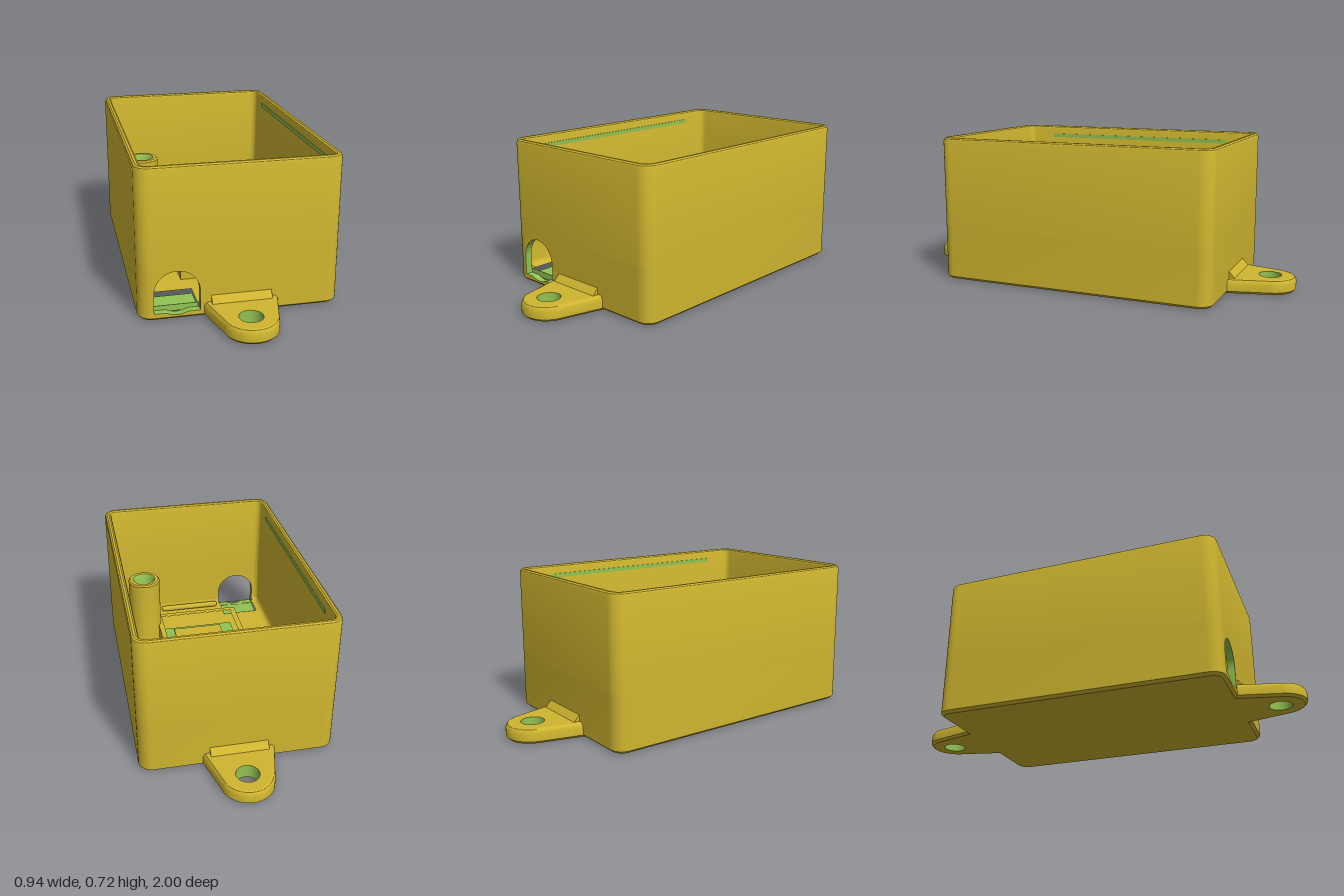
import * as THREE from 'three';
import { toCreasedNormals } from 'three/addons/utils/BufferGeometryUtils.js';

const yellow = new THREE.MeshStandardMaterial({ color: 0xcfb52f });
yellow.name = 'mustard plastic';
const green = new THREE.MeshStandardMaterial({ color: 0x92c353 });
green.name = 'green cut faces';

function add(parent, name, geometry, material, x = 0, y = 0, z = 0) {
  const mesh = new THREE.Mesh(geometry, material);
  mesh.name = name;
  mesh.position.set(x, y, z);
  parent.add(mesh);
  return mesh;
}

// Sweeps a profile of [inset, height] along an outline that depends on the inset
function sweep(outline, profile) {
  const rows = profile.map(([d, y]) => outline(d).map(([x, z]) => [x, y, z]));
  const pos = [];
  for (let j = 0; j < rows.length - 1; j++) {
    for (let i = 0; i < rows[j].length - 1; i++) {
      const a = rows[j][i], b = rows[j][i + 1], c = rows[j + 1][i], e = rows[j + 1][i + 1];
      pos.push(...a, ...c, ...b, ...b, ...c, ...e);
    }
  }
  const g = new THREE.BufferGeometry();
  g.setAttribute('position', new THREE.Float32BufferAttribute(pos, 3));
  g.computeVertexNormals();
  return toCreasedNormals(g, 0.6);
}

// Rounded rectangle, starting and ending at the front wall
function openRect(d) {
  const a = 0.47 - d, b = 0.705 - d, r = Math.max(0.065 - d, 0.02);
  const pts = [];
  [[-1, 1], [-1, -1], [1, -1], [1, 1]].forEach(([sx, sz], k) => {
    for (let i = 0; i <= 8; i++) {
      const t = (k + 1 + i / 8) * Math.PI / 2;
      pts.push([sx * (a - r) + r * Math.cos(t), sz * (b - r) + r * Math.sin(t)]);
    }
  });
  return pts;
}
const closedRect = (d) => { const p = openRect(d); return [...p, p[0]]; };

// Mounting ear outline, tapering to a round end
function earOutline(d) {
  const pts = [[0.176 - d, 0.69]];
  for (let i = 0; i <= 24; i++) {
    const t = 0.21 + (Math.PI - 0.42) * i / 24;
    pts.push([(0.125 - d) * Math.cos(t), 0.875 + (0.125 - d) * Math.sin(t)]);
  }
  pts.push([-0.176 + d, 0.69]);
  return pts;
}

// Horizontal flat face in x, z coordinates, facing up or down
function flat(points, y, up, hole) {
  const s = up ? -1 : 1;
  const shape = new THREE.Shape(points.map(([x, z]) => new THREE.Vector2(x, s * z)));
  if (hole) shape.holes.push(new THREE.Path(hole.map(([x, z]) => new THREE.Vector2(x, s * z))));
  return new THREE.ShapeGeometry(shape).rotateX(s * Math.PI / 2).translate(0, y, 0);
}

const rect = (x0, x1, z0, z1) => [[x0, z0], [x1, z0], [x1, z1], [x0, z1]];
const circle = (r, cz) => Array.from({ length: 32 }, (_, i) => {
  const t = i / 32 * Math.PI * 2;
  return [r * Math.cos(t), cz + r * Math.sin(t)];
});

// Upright rectangular frame with a given wall thickness
function frame(x0, x1, z0, z1, t, height) {
  const v = ([x, z]) => new THREE.Vector2(x, -z);
  const shape = new THREE.Shape(rect(x0, x1, z0, z1).map(v));
  shape.holes.push(new THREE.Path(rect(x0 + t, x1 - t, z0 + t, z1 - t).map(v)));
  return new THREE.ExtrudeGeometry(shape, { depth: height, bevelEnabled: false }).rotateX(-Math.PI / 2);
}

function buildShell(root) {
  const shell = new THREE.Group();
  shell.name = 'shell';
  root.add(shell);
  const fillet = [[0.035, 0.085], [0.038, 0.073], [0.044, 0.064], [0.053, 0.058], [0.065, 0.055]];

  add(shell, 'upperWalls', sweep(closedRect, [[0, 0.27], [0, 0.702], [0.004, 0.714], [0.012, 0.72],
    [0.023, 0.72], [0.031, 0.714], [0.035, 0.702], [0.035, 0.27]]), yellow);
  add(shell, 'lowerOuterWalls', sweep(openRect, [[0, 0.02], [0, 0.27]]), yellow);
  add(shell, 'lowerInnerWalls', sweep(openRect, [[0.035, 0.27], ...fillet]), yellow);
  add(shell, 'bottomChamfer', sweep(closedRect, [[0.015, 0], [0, 0.013], [0, 0.02]]), yellow);
  add(shell, 'underside', flat(openRect(0.015), 0, false), yellow);
  add(shell, 'floor', flat(openRect(0.035), 0.055, true, rect(-0.4, -0.195, 0.53, 0.665)), yellow);
  add(shell, 'frontFillet', sweep((d) => [[0.405, 0.705 - d], [-0.19, 0.705 - d]], fillet), yellow);

  // Lower front wall with the arched cable opening
  const panel = new THREE.Shape(rect(-0.405, 0.405, 0.02, 0.27).map((p) => new THREE.Vector2(...p)));
  const arch = new THREE.Path();
  arch.moveTo(-0.4, 0.13);
  arch.lineTo(-0.4, 0.034);
  arch.lineTo(-0.345, 0.034);
  arch.quadraticCurveTo(-0.295, 0.01, -0.245, 0.034);
  arch.lineTo(-0.19, 0.034);
  arch.lineTo(-0.19, 0.13);
  arch.absarc(-0.295, 0.13, 0.105, 0, Math.PI, false);
  panel.holes.push(arch);
  add(shell, 'cableWall', toCreasedNormals(new THREE.ExtrudeGeometry(panel,
    { depth: 0.035, bevelEnabled: false, curveSegments: 20 }), 0.6), [yellow, green], 0, 0, 0.67);

  // Sunken area in the floor behind the opening
  add(shell, 'cableRecessSides', frame(-0.4, -0.195, 0.53, 0.67, 0.003, 0.026), green, 0, 0.03, 0);
  add(shell, 'cableRecessFloor', new THREE.BoxGeometry(0.205, 0.006, 0.14), green, -0.2975, 0.028, 0.6);

  // Lid grooves on the long walls, low ribs on the end walls
  for (const s of [-1, 1]) {
    add(shell, 'lidGroove', new THREE.BoxGeometry(0.006, 0.02, 1.05), green, s * 0.434, 0.665, 0);
    const rib = new THREE.CapsuleGeometry(0.016, 0.31, 6, 12).rotateZ(Math.PI / 2);
    add(shell, 'endRib', rib, yellow, 0, 0.075, s * 0.63);
  }
}

function buildEar(root, name, angle) {
  const ear = new THREE.Group();
  ear.name = name;
  ear.rotation.y = angle;
  root.add(ear);
  const hole = circle(0.055, 0.875);
  add(ear, 'earEdge', sweep(earOutline, [[0.012, 0], [0, 0.012], [0, 0.05], [0.003, 0.059],
    [0.009, 0.067], [0.018, 0.07]]), yellow);
  add(ear, 'earTop', flat(earOutline(0.018), 0.07, true, hole), yellow);
  add(ear, 'earUnderside', flat(earOutline(0.012), 0, false, hole), yellow);
  const bore = new THREE.LatheGeometry([new THREE.Vector2(0.055, 0.07), new THREE.Vector2(0.055, 0)], 32);
  add(ear, 'screwHole', bore, green, 0, 0, 0.875);
  // Sloped brace against the wall
  const wedge = new THREE.Shape([[0, 0], [0.03, 0], [0, 0.034]].map((p) => new THREE.Vector2(...p)));
  const brace = new THREE.ExtrudeGeometry(wedge, { depth: 0.28, bevelEnabled: false })
    .translate(0, 0, -0.14).rotateY(-Math.PI / 2);
  add(ear, 'earBrace', brace, yellow, 0, 0.069, 0.704);
}

function buildPost(root, x, z) {
  const lathe = (pts) => toCreasedNormals(
    new THREE.LatheGeometry(pts.map((p) => new THREE.Vector2(...p)), 40), 0.6);
  const post = new THREE.Group();
  post.name = 'screwPost';
  post.position.set(x, 0, z);
  root.add(post);
  add(post, 'postBody', lathe([[0.12, 0.055], [0.105, 0.059], [0.094, 0.068], [0.087, 0.08],
    [0.085, 0.095], [0.085, 0.432], [0.078, 0.44], [0.06, 0.44]]), yellow);
  add(post, 'postBore', lathe([[0.06, 0.44], [0.05, 0.42], [0.05, 0.1], [0, 0.1]]), green);
}

function buildTray(root) {
  const tray = new THREE.Group();
  tray.name = 'boardTray';
  root.add(tray);
  add(tray, 'trayFrame', frame(-0.23, 0.23, -0.433, 0.425, 0.027, 0.11), yellow, 0, 0.052, 0);
  add(tray, 'trayLining', frame(-0.204, 0.204, -0.407, 0.399, 0.003, 0.108), green, 0, 0.052, 0);
  add(tray, 'trayFloor', new THREE.BoxGeometry(0.406, 0.02, 0.804), green, 0, 0.066, -0.004);
  add(tray, 'trayPad', new THREE.BoxGeometry(0.27, 0.008, 0.15), yellow, 0, 0.079, 0.3);
  for (const s of [-1, 1]) {
    add(tray, 'trayPin', new THREE.CylinderGeometry(0.021, 0.021, 0.02, 20), green, s * 0.146, 0.082, -0.34);
  }
}

export function createModel() {
  const root = new THREE.Group();
  root.name = 'enclosure';
  buildShell(root);
  buildEar(root, 'frontEar', 0);
  buildEar(root, 'backEar', Math.PI);
  buildPost(root, -0.3, -0.366);
  buildPost(root, 0.298, 0.36);
  buildTray(root);
  return root;
}
